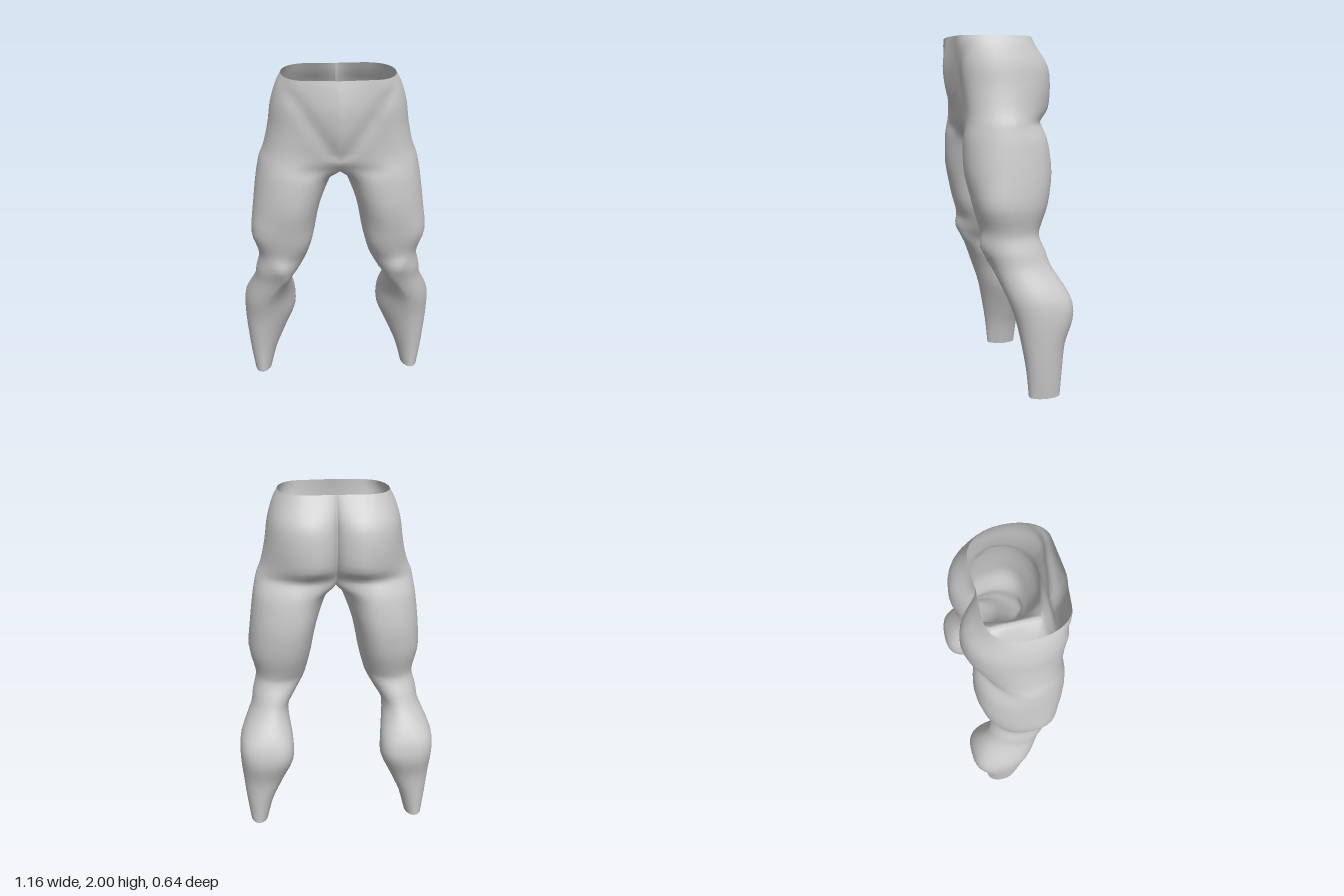
import * as THREE from 'three';
import { mergeVertices } from 'three/addons/utils/BufferGeometryUtils.js';

// Half pelvis, waist to crotch: y, front x z, outer x z, back x z,
// midline front z, midline back z, roundness at the back
const PELVIS = [
  [2.00, .18, .278, .313, .06, .15, -.152, .295, -.145, .88],
  [1.94, .18, .280, .345, .06, .14, -.188, .308, -.150, .93],
  [1.84, .19, .275, .375, .05, .135, -.255, .320, -.165, .96],
  [1.72, .21, .255, .392, .04, .135, -.270, .308, -.172, 1.02],
  [1.60, .24, .240, .420, .03, .14, -.260, .275, -.155, 1.20],
  [1.53, .25, .242, .448, .02, .17, -.205, .245, -.120, 1.22],
  [1.48, .255, .250, .459, .02, .20, -.215, .205, -.085, 1.12],
];
// Leg, thigh to ankle: y, front x z, outer x z, back x z, inner x z, roundness
const LEG = [
  [1.41, .26, .258, .472, .02, .22, -.232, .045, .05, .98],
  [1.25, .27, .255, .492, .04, .25, -.240, .105, .03, .87],
  [1.08, .30, .215, .505, .05, .29, -.210, .140, .01, .88],
  [0.96, .32, .182, .478, .03, .32, -.165, .170, .00, .93],
  [0.90, .34, .168, .472, .02, .345, -.150, .190, .00, .95],
  [0.82, .34, .160, .492, .00, .36, -.180, .235, .00, .96],
  [0.73, .36, .122, .508, -.03, .38, -.212, .285, -.05, .94],
  [0.58, .44, .060, .572, -.12, .41, -.300, .265, -.17, .88],
  [0.44, .46, .010, .580, -.14, .42, -.320, .265, -.19, .88],
  [0.30, .475, -.020, .570, -.14, .44, -.275, .325, -.18, .95],
  [0.15, .483, -.045, .555, -.14, .47, -.255, .390, -.16, 1],
  [0.00, .483, -.060, .535, -.15, .483, -.24, .430, -.15, 1],
];
// Local swellings: x, y, z, radius, push in x, push in z
const BUMPS = [
  [.34, .86, .16, .055, 0, .022],     // kneecap
  [.31, .76, .12, .04, -.008, .014],  // below the knee
  [.21, 1.02, .12, .09, -.01, .015],  // inner thigh above the knee
  [.44, 1.08, .13, .10, .01, .012],   // outer thigh above the knee
  [.33, .50, -.28, .08, -.01, -.01],  // inner calf
  [.51, .52, -.26, .08, .01, -.01],   // outer calf
];

const Q = 8;              // segments per outer quarter
const B = 6;              // segments per third of the inner half
const RING = 2 * Q + 3 * B;
const CLEFT = 2 * Q + B;  // ring places on the midline of the pelvis
const NAVEL = CLEFT + B;
const CROTCH = PELVIS.length - 1;
const SUB = 3;            // steps between sections
const FRONT_ROUND = 0.96;

// Quarter of a rounded section from one extreme (t = 0) to the next (t = 1);
// the first extreme fixes z, the second fixes x.
function quarter(ax, az, bx, bz, t, p) {
  const a = t * Math.PI / 2;
  const s = Math.pow(Math.max(0, Math.sin(a)), p);
  const c = Math.pow(Math.max(0, Math.cos(a)), p);
  return [ax + (bx - ax) * s, bz + (az - bz) * c];
}

// Ring order: front, outer side, back, inner side, front
function ring(row, isPelvis) {
  const [y, xf, zf, xo, zo, xb, zb, m, n, round] = row;
  const shin = y < 0.7 ? 0.25 : 0;   // flatter inner face of the shin
  const points = [];
  for (let i = 0; i < RING; i++) {
    const t = (i - 2 * Q) / (3 * B);
    let p;
    if (i <= Q) p = quarter(xf, zf, xo, zo, i / Q, FRONT_ROUND);
    else if (i < 2 * Q) p = quarter(xb, zb, xo, zo, 2 - i / Q, round);
    else if (!isPelvis) {
      p = t <= 0.5
        ? quarter(xb, zb, m, n, 2 * t, round)
        : quarter(xf, zf, m, n, 2 - 2 * t, FRONT_ROUND + shin);
    } else if (i <= CLEFT) p = quarter(xb, zb, 0, n, 3 * t, 1.15);
    else if (i < NAVEL) p = [0, n + (m - n) * (3 * t - 1)];
    else p = [xf * (3 * t - 2), m + (zf - m) * (3 * t - 2)];
    points.push(new THREE.Vector3(p[0], y, p[1]));
  }
  return points;
}

// Muscle swellings and the groove between belly and thigh
function sculpt(v) {
  const q = v.clone();
  for (const [x, y, z, r, dx, dz] of BUMPS) {
    const d2 = (q.x - x) ** 2 + (q.y - y) ** 2 + (q.z - z) ** 2;
    const w = Math.exp(-d2 / (r * r));
    v.x += dx * w;
    v.z += dz * w;
  }
  if (q.z > 0.15 && q.y > 1.56) {
    const d = (q.x - 0.67 * (q.y - 1.53)) / 0.045;
    v.z -= 0.012 * Math.exp(-d * d) * Math.min(1, (2 - q.y) / 0.1);
  }
  return v;
}

function buildSkin() {
  const rings = [...PELVIS.map((r) => ring(r, true)), ...LEG.map((r) => ring(r, false))];

  // The crotch arch runs on into the other leg, so it stays round
  for (let r = 0; r < CROTCH; r++) {
    for (let i = CLEFT + 1; i < NAVEL; i++) {
      const o = rings[2 * CROTCH - r][i];
      rings[r][i] = new THREE.Vector3(-o.x, o.y, o.z);
    }
  }

  // Smooth lengthwise curves through the sections
  const steps = (rings.length - 1) * SUB;
  const columns = [];
  for (let i = 0; i < RING; i++) {
    const curve = new THREE.CatmullRomCurve3(rings.map((r) => r[i]), false, 'catmullrom', 0.45);
    columns.push(curve.getPoints(steps).map((v, s) => {
      sculpt(v);
      const onMidline = s <= CROTCH * SUB && i >= CLEFT && i <= NAVEL;
      v.x = onMidline ? 0 : Math.max(0, v.x);
      return v;
    }));
  }

  // Both mirrored halves, welded along the midline
  const position = [];
  const index = [];
  for (const side of [1, -1]) {
    const base = position.length / 3;
    for (let s = 0; s <= steps; s++) {
      for (let i = 0; i < RING; i++) {
        const v = columns[i][s];
        position.push(side * v.x, v.y, v.z);
      }
    }
    for (let s = 0; s < steps; s++) {
      for (let i = 0; i < RING; i++) {
        // no wall between the two halves of the pelvis
        if (s < CROTCH * SUB && i >= CLEFT && i < NAVEL) continue;
        const k = (i + 1) % RING;
        const a = base + (s + 1) * RING + i, b = base + (s + 1) * RING + k;
        const c = base + s * RING + k, d = base + s * RING + i;
        if (side > 0) index.push(a, b, c, a, c, d);
        else index.push(a, c, b, a, d, c);
      }
    }
  }
  let geometry = new THREE.BufferGeometry();
  geometry.setAttribute('position', new THREE.Float32BufferAttribute(position, 3));
  geometry.setIndex(index);
  geometry = mergeVertices(geometry, 1e-4);
  geometry.computeVertexNormals();
  return geometry;
}

export function createModel() {
  const group = new THREE.Group();
  group.name = 'lowerBody';
  const material = new THREE.MeshStandardMaterial({ color: 0xcccccc, side: THREE.DoubleSide });
  const skin = new THREE.Mesh(buildSkin(), material);
  skin.name = 'pelvisAndLegs';
  group.add(skin);
  return group;
}
